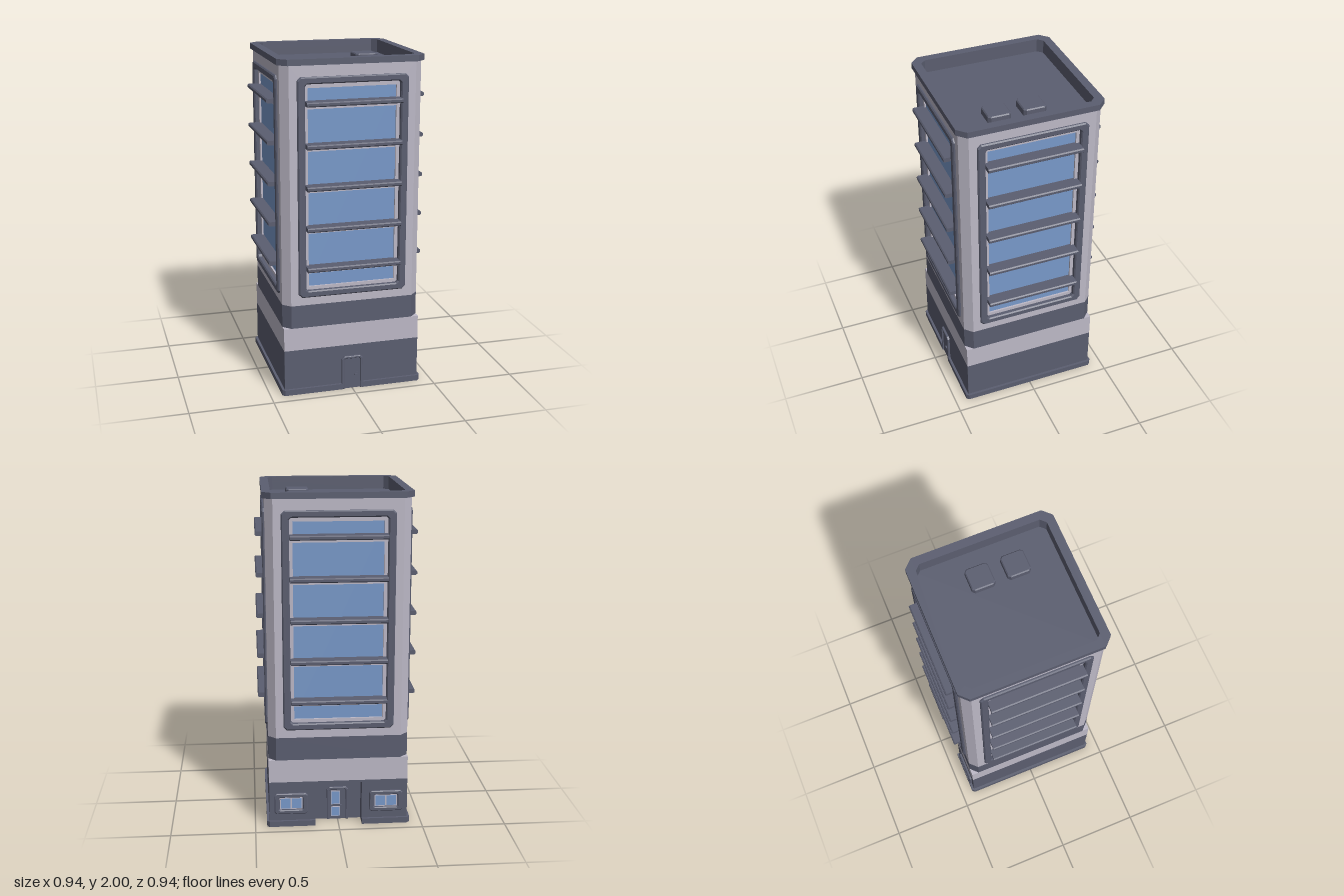
import * as THREE from 'three';

const material = (name, color) => Object.assign(new THREE.MeshStandardMaterial({ color }), { name });

// Rectangle outline with corners cut by c
function cutRect(x0, x1, y0, y1, c = 0, Type = THREE.Shape) {
  const p = c
    ? [[x0 + c, y0], [x1 - c, y0], [x1, y0 + c], [x1, y1 - c], [x1 - c, y1], [x0 + c, y1], [x0, y1 - c], [x0, y0 + c]]
    : [[x0, y0], [x1, y0], [x1, y1], [x0, y1]];
  return new Type(p.map(([x, y]) => new THREE.Vector2(x, y)));
}

// Flat plate or ring facing +z, from depth z0 to z1, with an optional bevelled face
function plate(shape, z0, z1, bevel = 0) {
  const g = new THREE.ExtrudeGeometry(shape, {
    depth: z1 - z0 - bevel, bevelEnabled: bevel > 0, bevelSegments: 1,
    bevelSize: bevel, bevelThickness: bevel, bevelOffset: -bevel,
  });
  return g.translate(0, 0, z0);
}

function ring(outer, inner) {
  outer.holes.push(inner);
  return outer;
}

// Floor-plan outline pushed upward from y0 to y1 (plan y points to the back)
function storey(shape, y0, y1) {
  return new THREE.ExtrudeGeometry(shape, { depth: y1 - y0, bevelEnabled: false })
    .rotateX(-Math.PI / 2).translate(0, y0, 0);
}

// Square plan with cut corners, an entrance recess at the back and an optional front gap
function basePlan(h, c, recess, gap) {
  const p = [[-h + c, -h]];
  if (gap) p.push([-0.06, -h], [-0.06, -gap], [0.06, -gap], [0.06, -h]);
  p.push([h - c, -h], [h, -h + c], [h, h - c], [h - c, h],
    [0.14, h], [0.14, recess], [-0.14, recess], [-0.14, h],
    [-h + c, h], [-h, h - c], [-h, -h + c]);
  return new THREE.Shape(p.map(([x, y]) => new THREE.Vector2(x, y)));
}

export function createModel() {
  const dark = material('slate', 0x5b5e70);
  const light = material('pale stone', 0xbdb9c7);
  const glass = material('blue glass', 0x7899ca);
  const model = new THREE.Group();
  model.name = 'officeTower';

  const add = (parent, name, geo, mat, x = 0, y = 0, z = 0) => {
    const m = new THREE.Mesh(geo, mat);
    m.name = name;
    m.position.set(x, y, z);
    parent.add(m);
    return m;
  };
  const group = (name, turn = 0) => {
    const g = new THREE.Group();
    g.name = name;
    g.rotation.y = turn;
    model.add(g);
    return g;
  };
  const square = (h, c) => cutRect(-h, h, -h, h, c);
  const squareHole = (h, c) => cutRect(-h, h, -h, h, c, THREE.Path);

  // Base with the entrance recess
  add(model, 'plinth', storey(basePlan(0.43, 0.015, 0.335, 0.41), 0, 0.035), dark);
  add(model, 'groundFloor', storey(basePlan(0.415, 0.001, 0.335), 0, 0.265), dark);
  add(model, 'groundFloorTop', storey(square(0.415), 0.265, 0.28), dark);
  add(model, 'baseBand', storey(square(0.415), 0.28, 0.42), light);
  add(model, 'towerFoot', storey(square(0.415, 0.045), 0.42, 0.56), dark);

  // Tower core and roof
  add(model, 'core', storey(square(0.385), 0.56, 1.92), dark);
  add(model, 'parapetLining', storey(ring(square(0.4, 0.032), squareHole(0.38, 0.03)), 1.91, 1.98), dark);
  add(model, 'parapet', storey(ring(square(0.43, 0.05), squareHole(0.38, 0.03)), 1.965, 2), dark);
  for (const z of [-0.07, 0.137]) {
    const unit = plate(cutRect(-0.068, 0.068, -0.068, 0.068, 0.015), 0, 0.04, 0.006).rotateX(-Math.PI / 2);
    add(model, 'roofUnit', unit, dark, 0.208, 1.92, z);
  }

  // Four equal facades
  const column = new THREE.Shape([[0.37, -0.37], [0.37, -0.415], [0.415, -0.37]].map(([x, y]) => new THREE.Vector2(x, y)));
  const columnGeo = storey(column, 0.56, 1.965);
  const wallGeo = plate(ring(cutRect(-0.37, 0.37, 0.56, 1.965), cutRect(-0.29, 0.29, 0.64, 1.87, 0, THREE.Path)), 0.385, 0.415);
  const frameGeo = plate(ring(cutRect(-0.325, 0.325, 0.61, 1.9, 0.02), cutRect(-0.28, 0.28, 0.65, 1.86, 0.012, THREE.Path)), 0.39, 0.43, 0.007);
  const trimGeo = plate(ring(cutRect(-0.29, 0.29, 0.64, 1.87), cutRect(-0.26, 0.26, 0.67, 1.835, 0, THREE.Path)), 0.385, 0.402);
  const glassGeo = plate(cutRect(-0.27, 0.27, 0.66, 1.85), 0.385, 0.391);
  // Shade blade: side profile with softened front edges, swept across the window
  const blade = new THREE.Shape([[0.388, -0.013], [0.463, -0.013], [0.47, -0.007], [0.47, 0.007], [0.463, 0.013], [0.388, 0.013]]
    .map(([x, y]) => new THREE.Vector2(x, y)));
  const bladeGeo = new THREE.ExtrudeGeometry(blade, { depth: 0.558, bevelEnabled: false })
    .translate(0, 0, -0.279).rotateY(-Math.PI / 2);
  const railGeo = new THREE.BoxGeometry(0.558, 0.02, 0.025);
  for (let i = 0; i < 4; i++) {
    const side = group('facade', i * Math.PI / 2);
    add(side, 'cornerColumn', columnGeo, light);
    add(side, 'wall', wallGeo, light);
    add(side, 'windowFrame', frameGeo, dark);
    add(side, 'windowTrim', trimGeo, light);
    add(side, 'windowGlass', glassGeo, glass);
    for (let k = 0; k < 5; k++) {
      const y = 0.787 + k * 0.241;
      add(side, 'shadeBlade', bladeGeo, dark, 0, y, 0);
      add(side, 'shadeRail', railGeo, light, 0, y - 0.023, 0.4);
    }
  }

  // Door with its surround; z is the wall surface behind it
  const doorFrame = new THREE.Shape([[-0.065, 0], [-0.05, 0], [-0.05, 0.188], [-0.043, 0.195], [0.043, 0.195], [0.05, 0.188],
    [0.05, 0], [0.065, 0], [0.065, 0.195], [0.05, 0.21], [-0.05, 0.21], [-0.065, 0.195]].map(([x, y]) => new THREE.Vector2(x, y)));
  const addDoor = (parent, z) => {
    add(parent, 'doorFrame', plate(doorFrame, -0.01, 0.015, 0.003), dark, 0, 0, z);
    add(parent, 'door', new THREE.BoxGeometry(0.1, 0.195, 0.012), dark, 0, 0.0975, z);
    add(parent, 'doorHandle', new THREE.BoxGeometry(0.022, 0.007, 0.008), dark, 0.022, 0.09, z + 0.011);
    add(parent, 'handlePlate', new THREE.BoxGeometry(0.009, 0.026, 0.004), dark, 0.032, 0.088, z + 0.007);
  };
  addDoor(group('frontDoor'), 0.415);

  // Glazed rear entrance with a window on each side
  const rear = group('rearEntrance', Math.PI);
  addDoor(rear, 0.335);
  for (const [y, h] of [[0.14, 0.08], [0.05, 0.055]]) {
    add(rear, 'doorPaneTrim', new THREE.BoxGeometry(0.056, h + 0.008, 0.004), light, -0.012, y, 0.342);
    add(rear, 'doorPane', new THREE.BoxGeometry(0.048, h, 0.004), glass, -0.012, y, 0.344);
  }
  const smallFrame = plate(ring(cutRect(-0.1, 0.1, 0.08, 0.21, 0.012), cutRect(-0.072, 0.072, 0.105, 0.185, 0.006, THREE.Path)), 0.41, 0.43, 0.005);
  for (const x of [-0.285, 0.285]) {
    add(rear, 'smallWindowFrame', smallFrame, dark, x);
    add(rear, 'smallWindowTrim', new THREE.BoxGeometry(0.136, 0.073, 0.006), light, x, 0.145, 0.416);
    for (const s of [-1, 1]) {
      add(rear, 'smallWindowPane', new THREE.BoxGeometry(0.058, 0.062, 0.004), glass, x + s * 0.033, 0.145, 0.419);
    }
  }
  return model;
}
